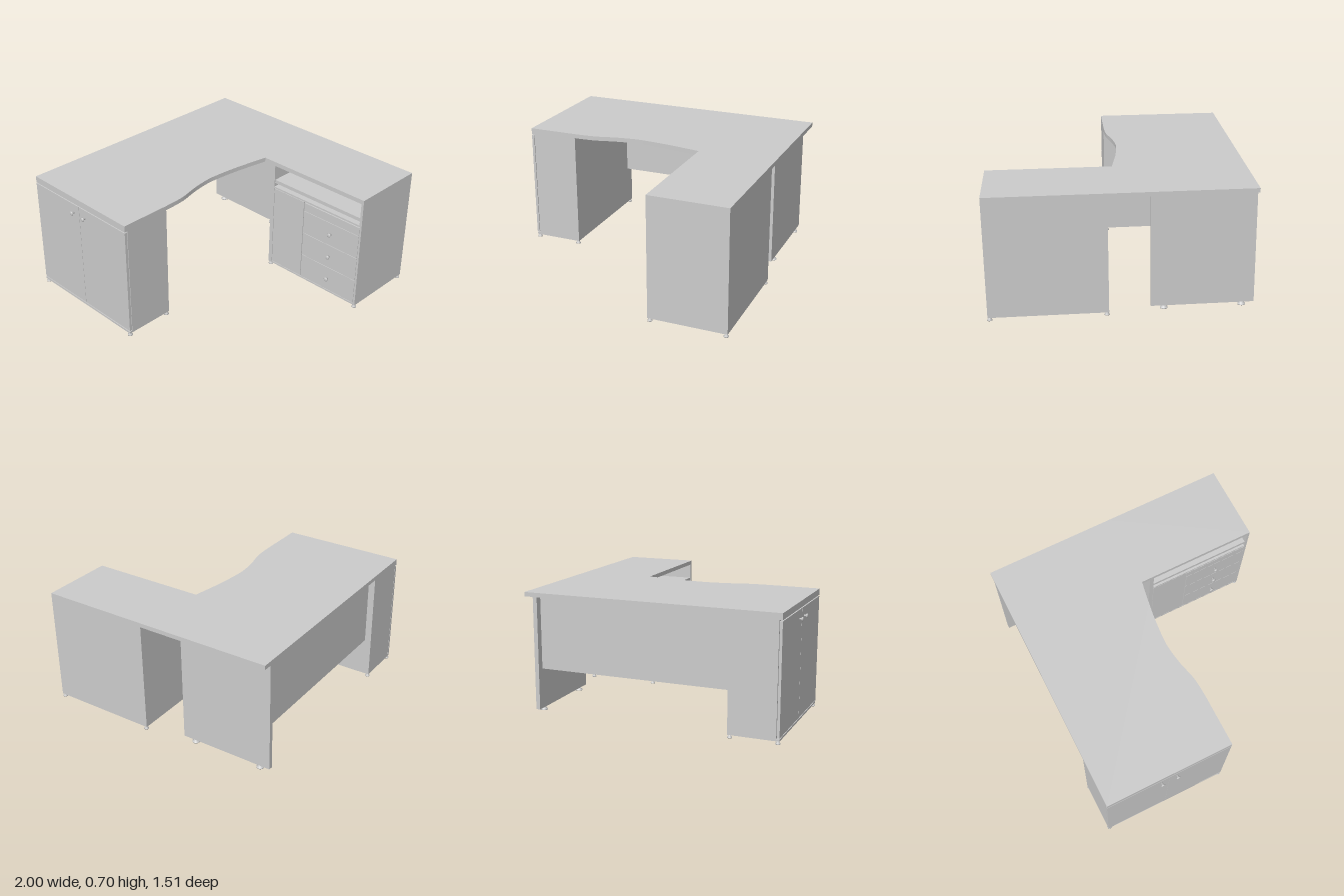
import * as THREE from 'three';

const mat = new THREE.MeshStandardMaterial({ color: 0xcccccc });
const TOP = 0.705, UNDER = 0.68, FLOOR = 0.018; // desktop top, desktop underside, cabinet base
const W = 1.513, D = 0.755;                     // main desk width and depth
const RX = 1.07, RZ0 = 0.808, RZ1 = 1.463;      // return cabinet extents

function add(parent, name, geometry) {
  const mesh = new THREE.Mesh(geometry, mat);
  mesh.name = name;
  parent.add(mesh);
  return mesh;
}

// Box given by its extents along each axis
function box(parent, name, x0, x1, y0, y1, z0, z1) {
  const mesh = add(parent, name, new THREE.BoxGeometry(x1 - x0, y1 - y0, z1 - z0));
  mesh.position.set((x0 + x1) / 2, (y0 + y1) / 2, (z0 + z1) / 2);
  return mesh;
}

function subgroup(parent, name) {
  const g = new THREE.Group();
  g.name = name;
  parent.add(g);
  return g;
}

// Turned glide foot
function foot(parent, x, z, r = 0.014) {
  const pts = [[0, 0], [r, 0], [r, 0.004], [r * 0.6, 0.011], [r * 0.55, FLOOR + 0.002], [0, FLOOR + 0.002]];
  const geo = new THREE.LatheGeometry(pts.map(p => new THREE.Vector2(...p)), 16);
  add(parent, 'foot', geo).position.set(x, 0, z);
}

// Small knob facing -x
function knob(parent, x, y, z) {
  const pts = [[0, 0], [0.006, 0], [0.005, 0.008], [0.012, 0.014], [0.012, 0.018], [0.008, 0.021], [0, 0.021]];
  const geo = new THREE.LatheGeometry(pts.map(p => new THREE.Vector2(...p)), 16);
  const k = add(parent, 'knob', geo);
  k.rotation.z = Math.PI / 2;
  k.position.set(x, y, z);
}

export function createModel() {
  const model = new THREE.Group();
  model.name = 'cornerDesk';

  // The whole desk stands turned in plan
  const desk = subgroup(model, 'desk');
  desk.rotation.y = 0.4503;
  desk.position.set(-1, 0, -0.1);

  // Main desktop with a shallow curved front edge
  const shape = new THREE.Shape();
  shape.moveTo(0, 0);
  shape.lineTo(W, 0);
  shape.lineTo(W, D);
  shape.lineTo(RX, D);
  shape.splineThru([[0.976, 0.738], [0.873, 0.721], [0.766, 0.709], [0.66, 0.704], [0.542, 0.719],
    [0.415, 0.748], [0.29, D]].map(p => new THREE.Vector2(...p)));
  shape.lineTo(0, D);
  const topGeo = new THREE.ExtrudeGeometry(shape, { depth: TOP - UNDER, bevelEnabled: false, curveSegments: 36 });
  topGeo.rotateX(Math.PI / 2);
  add(desk, 'mainTop', topGeo).position.y = TOP;

  // Return desktop
  box(desk, 'returnTop', RX, W, UNDER, TOP, D, RZ1);

  // Side cabinet with two doors under the main top
  const side = subgroup(desk, 'sideCabinet');
  box(side, 'carcass', 0.018, 0.29, FLOOR, UNDER, 0, D);
  box(side, 'baseEdge', 0, 0.018, FLOOR, 0.03, 0, D);
  box(side, 'topEdge', 0, 0.018, 0.668, UNDER, 0, D);
  for (const s of [-1, 1]) {
    const mid = D / 2;
    const a = mid + s * 0.001, b = mid + s * mid;
    box(side, 'door', 0, 0.015, 0.035, 0.662, Math.min(a, b), Math.max(a, b));
    knob(side, 0, 0.61, mid + s * 0.047);
  }
  for (const x of [0.011, 0.279]) for (const z of [0.011, D - 0.011]) foot(side, x, z);

  // Supporting end panel and modesty panel
  const leg = subgroup(desk, 'endPanel');
  box(leg, 'panel', 1.435, 1.46, FLOOR, UNDER, 0, 0.575);
  for (const z of [0.067, 0.502]) foot(leg, 1.4475, z, 0.022);
  box(desk, 'modestyPanel', 0.29, 1.435, 0.255, UNDER, 0.04, 0.062);

  // Return cabinet: lower body plus an open niche above it
  const ret = subgroup(desk, 'returnCabinet');
  const t = 0.025, shelf = 0.545;
  box(ret, 'lowerBody', RX + 0.018, W, FLOOR, shelf, RZ0, RZ1);
  box(ret, 'innerSide', RX, W, shelf, UNDER, RZ0, RZ0 + t);
  box(ret, 'outerSide', RX, W, shelf, UNDER, RZ1 - t * 0.6, RZ1);
  box(ret, 'nicheBack', W - t, W, shelf, UNDER, RZ0 + t, RZ1 - t * 0.6);
  box(ret, 'pullOutTray', RX + 0.005, W - 0.1, 0.567, 0.588, RZ0 + t, RZ1 - t * 0.6);
  box(ret, 'frontSide', RX, RX + 0.018, FLOOR, shelf, RZ0, RZ0 + t);
  box(ret, 'frontEnd', RX, RX + 0.018, FLOOR, shelf, RZ1 - 0.012, RZ1);
  box(ret, 'frontBase', RX, RX + 0.018, FLOOR, 0.028, RZ0 + t, RZ1 - 0.012);
  box(ret, 'frontShelf', RX, RX + 0.018, 0.535, shelf, RZ0 + t, RZ1 - 0.012);

  // Narrow door and drawer stack
  box(ret, 'narrowDoor', RX, RX + 0.018, 0.031, 0.532, RZ0 + t + 0.003, 1.058);
  const levels = [0.031, 0.183, 0.332, 0.478, 0.532];
  for (let i = 0; i < 4; i++) {
    box(ret, 'drawerFront', RX, RX + 0.018, levels[i], levels[i + 1] - 0.003, 1.062, RZ1 - 0.014);
    if (i < 3) knob(ret, RX, (levels[i] + levels[i + 1]) / 2, 1.26);
  }
  for (const x of [RX + 0.011, W - 0.011]) for (const z of [RZ0 + 0.011, RZ1 - 0.011]) foot(ret, x, z);

  return model;
}
